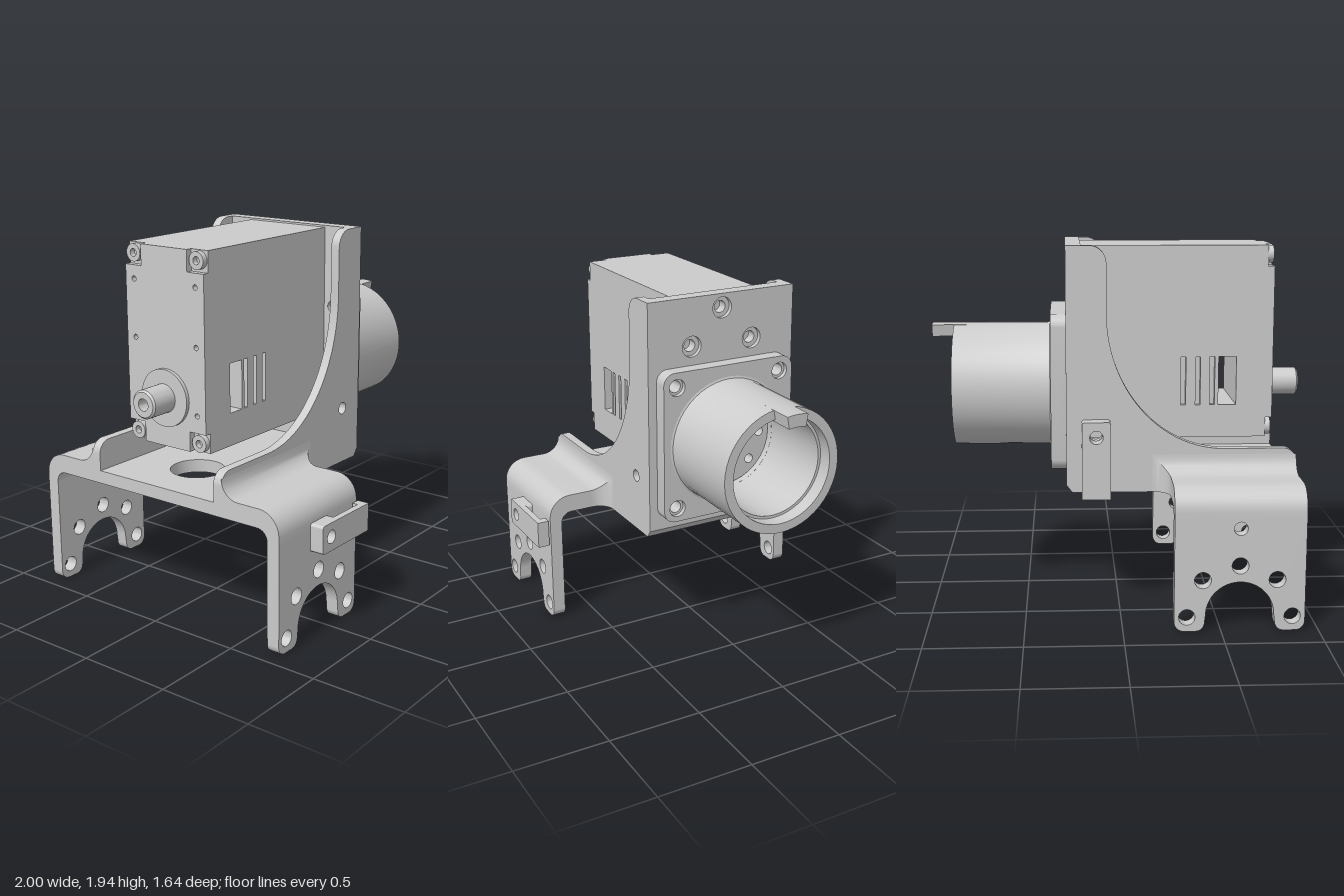
import * as THREE from 'three';
import { toCreasedNormals } from 'three/addons/utils/BufferGeometryUtils.js';

const MAT = new THREE.MeshStandardMaterial({ color: 0xcccccc });
const AXIS_Y = 1.165; // height of the motor axis

function add(parent, name, geo) {
  const mesh = new THREE.Mesh(toCreasedNormals(geo, 0.6), MAT);
  mesh.name = name;
  parent.add(mesh);
  return mesh;
}

// Rectangle with rounded corners
function rect(x0, y0, x1, y1, r = 0) {
  const s = new THREE.Shape();
  if (!r) return s.moveTo(x0, y0).lineTo(x1, y0).lineTo(x1, y1).lineTo(x0, y1).closePath();
  s.absarc(x1 - r, y0 + r, r, -Math.PI / 2, 0);
  s.absarc(x1 - r, y1 - r, r, 0, Math.PI / 2);
  s.absarc(x0 + r, y1 - r, r, Math.PI / 2, Math.PI);
  s.absarc(x0 + r, y0 + r, r, Math.PI, Math.PI * 1.5);
  return s.closePath();
}

function polygon(points) {
  return new THREE.Shape(points.map(p => new THREE.Vector2(...p)));
}

function drill(shape, holes) {
  for (const [x, y, r] of holes) shape.holes.push(new THREE.Path().absarc(x, y, r, 0, Math.PI * 2, true));
  return shape;
}

function alongZ(shape, z0, z1) {
  return new THREE.ExtrudeGeometry(shape, { depth: z1 - z0, bevelEnabled: false, curveSegments: 16 }).translate(0, 0, z0);
}
const alongX = (shape, x0, x1) => alongZ(shape, x0, x1).rotateY(Math.PI / 2);
const alongY = (shape, y0, y1) => alongZ(shape, y0, y1).rotateX(-Math.PI / 2);

// Turned part around the motor axis, profile given as [radius, x]
function turned(profile) {
  return new THREE.LatheGeometry(profile.map(p => new THREE.Vector2(...p)), 48)
    .rotateZ(-Math.PI / 2).translate(0, AXIS_Y, 0);
}

// Flared, bent shoulder from the side wall over to the leg
function shoulder(side) {
  const sections = []; // [outer z, outer y, inner z, inner y]
  for (let i = 0; i <= 8; i++) {
    const t = i / 8 * Math.PI / 2, z = 0.535 - 0.1 * Math.cos(t);
    sections.push([z, 0.85 - 0.1 * Math.sin(t), z, 0.65]);
  }
  for (let i = 0; i <= 8; i++) {
    const t = i / 8 * Math.PI / 2, s = Math.sin(t), c = Math.cos(t);
    sections.push([0.665 + 0.12 * s, 0.63 + 0.12 * c, 0.655 + 0.06 * s, 0.59 + 0.06 * c]);
  }
  sections.push([0.785, 0.59, 0.715, 0.59]);
  const pos = [], idx = [];
  sections.forEach(([zo, yo, zi, yi], i) => {
    const d = Math.max(0, 0.525 - zo);
    const x = -0.17 - Math.sqrt(Math.max(0, 0.09 ** 2 - d * d));
    pos.push(-0.93, yo, side * zo, x, yo, side * zo, x, yi, side * zi, -0.93, yi, side * zi);
    if (i === sections.length - 1) return;
    for (let k = 0; k < 4; k++) {
      const a = i * 4 + k, b = i * 4 + (k + 1) % 4, c = a + 4, e = b + 4;
      if (side > 0) idx.push(a, c, b, b, c, e);
      else idx.push(a, b, c, b, e, c);
    }
  });
  const geo = new THREE.BufferGeometry();
  geo.setAttribute('position', new THREE.Float32BufferAttribute(pos, 3));
  geo.setIndex(idx);
  return geo;
}

function legShape() {
  const s = new THREE.Shape();
  s.moveTo(-0.93, 0.59).lineTo(-0.93, 0.055);
  s.absarc(-0.88, 0.055, 0.05, Math.PI, Math.PI * 1.5);
  s.absarc(-0.82, 0.05, 0.045, -Math.PI / 2, 0);
  s.absarc(-0.595, 0.09, 0.175, Math.PI, 0, true);
  s.absarc(-0.37, 0.05, 0.045, Math.PI, Math.PI * 1.5);
  s.absarc(-0.31, 0.055, 0.05, -Math.PI / 2, 0);
  s.lineTo(-0.26, 0.59).closePath();
  return drill(s, [[-0.595, 0.545, 0.035], [-0.595, 0.35, 0.043], [-0.785, 0.275, 0.043],
    [-0.405, 0.275, 0.043], [-0.865, 0.08, 0.042], [-0.325, 0.08, 0.042]]);
}

function wallShape() {
  const s = new THREE.Shape();
  s.moveTo(-0.93, 0.65).lineTo(0.25, 0.65).lineTo(0.28, 0.69).lineTo(0.28, 1.94).lineTo(0.16, 1.94);
  s.absarc(0.16, 1.85, 0.09, Math.PI / 2, Math.PI);
  s.absellipse(-0.55, 1.6, 0.62, 0.72, 0, -Math.PI / 2, true);
  s.absarc(-0.86, 0.81, 0.07, Math.PI / 2, Math.PI);
  s.closePath();
  return drill(s, [[0.125, 0.96, 0.033]]);
}

function buildBracket(root) {
  const g = new THREE.Group();
  g.name = 'bracket';
  root.add(g);
  for (const s of [1, -1]) {
    const span = (a, b) => s > 0 ? [a, b] : [-b, -a];
    add(g, 'sideWall', alongZ(wallShape(), ...span(0.385, 0.435)));
    add(g, 'shoulder', shoulder(s));
    add(g, 'leg', alongZ(legShape(), ...span(0.715, 0.785)));
  }
  add(g, 'floor', alongY(drill(rect(-0.93, -0.39, 0.22, 0.39), [[-0.595, 0, 0.145]]), 0.65, 0.72));
  add(g, 'floorChamfer', alongZ(polygon([[0.2, 0.65], [0.25, 0.65], [0.28, 0.69], [0.2, 0.69]]), -0.39, 0.39));

  // Front plate in two layers so the upper screw holes are counterbored
  const layer = (r, x0, x1) => {
    const holes = [[0, 1.865, r], [0.18, 1.68, r], [-0.18, 1.68, r], [0, AXIS_Y, 0.27]];
    for (const u of [-0.31, 0.31]) for (const y of [0.83, 1.5]) holes.push([u, y, 0.032]);
    add(g, 'frontPlate', alongX(drill(rect(-0.435, 0.69, 0.435, 1.94), holes), x0, x1));
  };
  layer(0.032, 0.2, 0.255);
  layer(0.056, 0.255, 0.28);

  // Cable clips: a drilled block, a thin strip and a hook
  const front = new THREE.Group();
  front.name = 'legCableClip';
  g.add(front);
  add(front, 'clipBlock', alongZ(drill(rect(-0.67, 0.47, -0.52, 0.62, 0.015), [[-0.595, 0.545, 0.035]]), 0.785, 0.86));
  add(front, 'clipStrip', alongZ(rect(-0.54, 0.47, -0.26, 0.62), 0.825, 0.86));
  add(front, 'clipHook', alongZ(rect(-0.31, 0.47, -0.26, 0.62), 0.795, 0.83));
  const back = new THREE.Group();
  back.name = 'wallCableClip';
  g.add(back);
  add(back, 'clipBlock', alongZ(drill(rect(0.05, 0.88, 0.2, 1.04, 0.015), [[0.125, 0.96, 0.035]]), -0.515, -0.435));
  add(back, 'clipStrip', alongZ(rect(0.05, 0.63, 0.2, 0.9), -0.515, -0.48));
  add(back, 'clipHook', alongZ(rect(0.05, 0.63, 0.2, 0.68), -0.485, -0.445));
}

function buildMotor(root) {
  const g = new THREE.Group();
  g.name = 'servoMotor';
  root.add(g);
  // Case with a window right through and shallow slots in both sides
  const windowed = () => {
    const s = rect(-0.79, 0.905, 0.2, 1.93);
    s.holes.push(rect(-0.63, 1.08, -0.535, 1.34));
    return s;
  };
  add(g, 'caseCore', alongZ(windowed(), -0.225, 0.225));
  for (const z of [-0.255, 0.225]) {
    const skin = windowed();
    for (const x of [-0.515, -0.438, -0.36]) skin.holes.push(rect(x, 1.08, x + 0.026, 1.34));
    add(g, 'caseSide', alongZ(skin, z, z + 0.03));
  }
  // End cap with notched corners and screw posts
  const cap = polygon([[-0.15, 0.905], [0.15, 0.905], [0.15, 1.01], [0.255, 1.01], [0.255, 1.82], [0.15, 1.82],
    [0.15, 1.93], [-0.15, 1.93], [-0.15, 1.82], [-0.255, 1.82], [-0.255, 1.01], [-0.15, 1.01]]);
  const screws = [];
  for (const u of [-0.2, 0.2]) for (const y of [1.1, 1.45, 1.75]) screws.push([u, y, 0.014]);
  add(g, 'endCap', alongX(drill(cap, screws), -0.825, -0.79));
  for (const u of [-0.205, 0.205]) for (const y of [0.955, 1.88])
    add(g, 'cornerPost', alongX(drill(new THREE.Shape().absarc(u, y, 0.045, 0, Math.PI * 2), [[u, y, 0.02]]), -0.82, -0.79));
  add(g, 'rearBoss', turned([[0, -0.825], [0.15, -0.825], [0.15, -0.845], [0, -0.845]].reverse()));
  add(g, 'rearShaft', turned([[0, -0.9], [0.032, -0.9], [0.032, -1], [0.065, -1], [0.075, -0.99], [0.075, -0.83]]));

  // Output horn with a ring of eight holes
  const holes = [[0, AXIS_Y, 0.04]];
  for (let i = 0; i < 8; i++) {
    const a = i * Math.PI / 4;
    holes.push([0.207 * Math.cos(a), AXIS_Y + 0.207 * Math.sin(a), 0.025]);
  }
  const disc = new THREE.Shape().absarc(0, AXIS_Y, 0.265, 0, Math.PI * 2);
  add(g, 'outputHorn', alongX(drill(disc, holes), 0.26, 0.33));
  add(g, 'hornHub', turned([[0, 0.2], [0.13, 0.2], [0.13, 0.335], [0.04, 0.335], [0.04, 0.3], [0, 0.3]]));
}

function buildSleeve(root) {
  const g = new THREE.Group();
  g.name = 'outputSleeve';
  root.add(g);
  const flange = (r, x0, x1) => {
    const holes = [[0, AXIS_Y, 0.27]];
    for (const u of [-0.31, 0.31]) for (const y of [0.83, 1.5]) holes.push([u, y, r]);
    add(g, 'flange', alongX(drill(rect(-0.388, 0.755, 0.388, 1.58, 0.065), holes), x0, x1));
  };
  flange(0.032, 0.28, 0.335);
  flange(0.046, 0.335, 0.36);
  add(g, 'sleeve', turned([[0.27, 0.28], [0.27, 0.36], [0.35, 0.36], [0.339, 0.364], [0.335, 0.375], [0.335, 0.88],
    [0.285, 0.88], [0.285, 0.8], [0.27, 0.8], [0.27, 0.28]]));
  // Curved locating tab at the top of the rim
  const tab = new THREE.Shape();
  tab.absarc(0, AXIS_Y, 0.335, Math.PI / 2 - 0.18, Math.PI / 2 + 0.18);
  tab.absarc(0, AXIS_Y, 0.27, Math.PI / 2 + 0.18, Math.PI / 2 - 0.18, true);
  tab.closePath();
  add(g, 'locatingTab', alongX(tab, 0.8, 1));
}

export function createModel() {
  const model = new THREE.Group();
  model.name = 'servoBracketAssembly';
  const body = new THREE.Group();
  body.name = 'assembly';
  body.position.z = -0.04;
  model.add(body);
  buildBracket(body);
  buildMotor(body);
  buildSleeve(body);
  return model;
}
